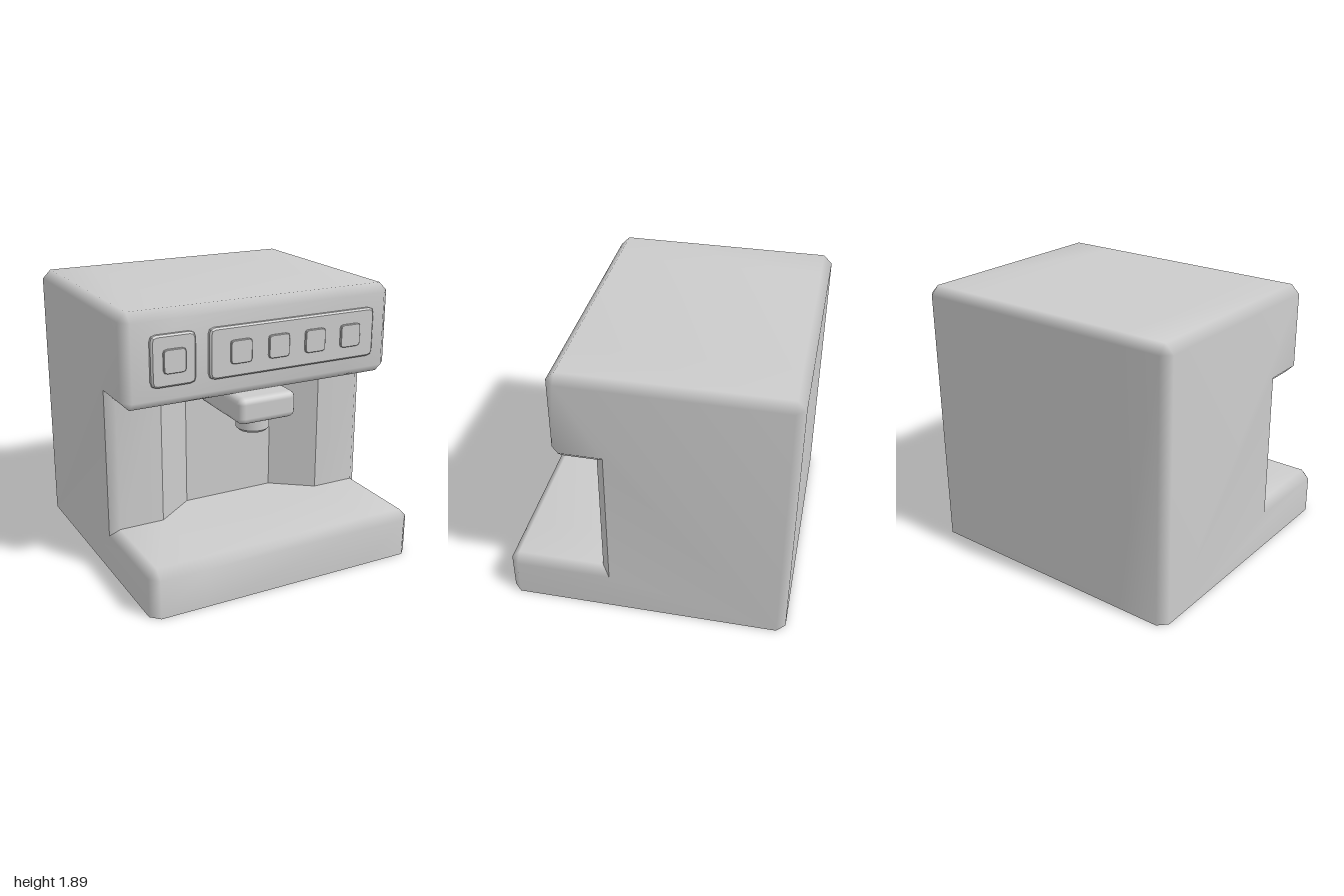
import * as THREE from 'three';
import { mergeGeometries, mergeVertices, toCreasedNormals } from 'three/addons/utils/BufferGeometryUtils.js';
import { RoundedBoxGeometry } from 'three/addons/geometries/RoundedBoxGeometry.js';

const material = new THREE.MeshStandardMaterial({ color: 0xcccccc });
const shellMaterial = new THREE.MeshStandardMaterial({ color: 0xcccccc, side: THREE.DoubleSide });

// Side profile as [z, y]: full width, and the inset outline where the bevel meets the flat sides
const PROFILE = [
  [0.98, 0], [0.98, 0.27], [0.92, 0.33], [0.31, 0.33], [0.31, 1.26], [0.545, 1.26],
  [0.605, 1.32], [0.605, 1.835], [0.545, 1.895], [-0.92, 1.895], [-0.98, 1.835], [-0.98, 0],
];
const INSET = [
  [0.92, 0], [0.92, 0.27], [0.92, 0.27], [0.255, 0.27], [0.255, 1.32], [0.545, 1.32],
  [0.545, 1.32], [0.545, 1.835], [0.545, 1.835], [-0.92, 1.835], [-0.92, 1.835], [-0.92, 0],
];
const COLUMNS = [-1, -0.94, -0.62, 0.62, 0.94, 1];
const NICHE_EDGE = 3; // profile edge forming the upright back of the cutout

// Indexed geometry from quads of [x, y, z] corners
function quads(list) {
  const position = [], index = [];
  list.forEach((corners, i) => {
    corners.forEach((c) => position.push(...c));
    const n = i * 4;
    index.push(n, n + 1, n + 2, n, n + 2, n + 3);
  });
  const geometry = new THREE.BufferGeometry();
  geometry.setAttribute('position', new THREE.Float32BufferAttribute(position, 3));
  geometry.setIndex(index);
  return geometry;
}

function smooth(geometry) {
  const merged = mergeVertices(geometry);
  merged.computeVertexNormals();
  return merged;
}

// Quad of the bevelled shell between two columns and two profile points
function shellQuad(column, edge) {
  const point = (c, i) => {
    const [z, y] = (c === 0 || c === COLUMNS.length - 1 ? INSET : PROFILE)[i];
    return [COLUMNS[c], y, z];
  };
  return [point(column, edge), point(column + 1, edge), point(column + 1, edge + 1), point(column, edge + 1)];
}

// Flat side wall for side = 1 (left) or -1 (right)
function sideWall(side) {
  const outline = INSET.filter((p, i) => i === 0 || p.join() !== INSET[i - 1].join());
  const shape = new THREE.Shape(outline.map(([z, y]) => new THREE.Vector2(-side * z, y)));
  const geometry = new THREE.ShapeGeometry(shape);
  geometry.rotateY(side * Math.PI / 2).translate(side, 0, 0);
  geometry.deleteAttribute('normal');
  geometry.deleteAttribute('uv');
  return geometry;
}

// Rounded plate with a bevelled front, spanning z0 to z1
function plate(w, h, z0, z1, r, bevel) {
  const x = w / 2 - bevel, y = h / 2 - bevel;
  const shape = new THREE.Shape();
  shape.moveTo(-x + r, -y);
  shape.lineTo(x - r, -y).quadraticCurveTo(x, -y, x, -y + r);
  shape.lineTo(x, y - r).quadraticCurveTo(x, y, x - r, y);
  shape.lineTo(-x + r, y).quadraticCurveTo(-x, y, -x, y - r);
  shape.lineTo(-x, -y + r).quadraticCurveTo(-x, -y, -x + r, -y);
  const geometry = new THREE.ExtrudeGeometry(shape, {
    depth: z1 - z0 - bevel, bevelEnabled: true, bevelSize: bevel,
    bevelThickness: bevel, bevelSegments: 1, curveSegments: 2,
  });
  return toCreasedNormals(geometry.translate(0, 0, z0), 0.6);
}

export function createModel() {
  const group = new THREE.Group();
  const add = (name, geometry, mat = material, x = 0, y = 0, z = 0) => {
    const mesh = new THREE.Mesh(geometry, mat);
    mesh.name = name;
    mesh.position.set(x, y, z);
    group.add(mesh);
  };

  // Housing: hollow shell with an open underside
  const shell = [], uprights = [];
  for (let c = 0; c < COLUMNS.length - 1; c++) {
    for (let e = 0; e < PROFILE.length - 1; e++) {
      if (e !== NICHE_EDGE) shell.push(shellQuad(c, e));
      else if (c !== 2) uprights.push(shellQuad(c, e));
    }
  }
  add('housing', smooth(mergeGeometries([quads(shell), sideWall(1), sideWall(-1)])), shellMaterial);
  add('nicheUprights', smooth(quads(uprights)), shellMaterial);

  // Niche: three faceted back panels with floor and ceiling
  const plan = [[-0.62, 0.31], [-0.34, 0.1], [0.34, 0.1], [0.62, 0.31]];
  const at = (i, y) => [plan[i][0], y, plan[i][1]];
  const low = 0.33, high = 1.26;
  const niche = [0, 1, 2].map((i) => [at(i, low), at(i + 1, low), at(i + 1, high), at(i, high)]);
  niche.push([0, 3, 2, 1].map((i) => at(i, low)), [0, 1, 2, 3].map((i) => at(i, high)));
  const nicheGeometry = quads(niche);
  nicheGeometry.computeVertexNormals();
  add('niche', nicheGeometry, shellMaterial);

  // Control panels and buttons
  add('powerPanel', plate(0.31, 0.34, 0.59, 0.637, 0.03, 0.012), material, -0.665, 1.577);
  add('controlPanel', plate(1.255, 0.34, 0.59, 0.637, 0.03, 0.012), material, 0.213, 1.577);
  [-0.665, -0.195, 0.085, 0.363, 0.642].forEach((x) =>
    add('button', plate(0.154, 0.157, 0.62, 0.655, 0.02, 0.004), material, x, 1.577));

  // Brew head and nozzle
  add('brewHead', new RoundedBoxGeometry(0.43, 0.185, 0.595, 2, 0.045), material, -0.004, 1.163, 0.378);
  const nozzle = [[0, 0.957], [0.098, 0.957], [0.116, 0.975], [0.116, 1.09]];
  const lathe = new THREE.LatheGeometry(nozzle.map(([r, y]) => new THREE.Vector2(r, y)), 20);
  add('nozzle', toCreasedNormals(lathe, 0.6), material, -0.004, 0, 0.457);

  return group;
}
